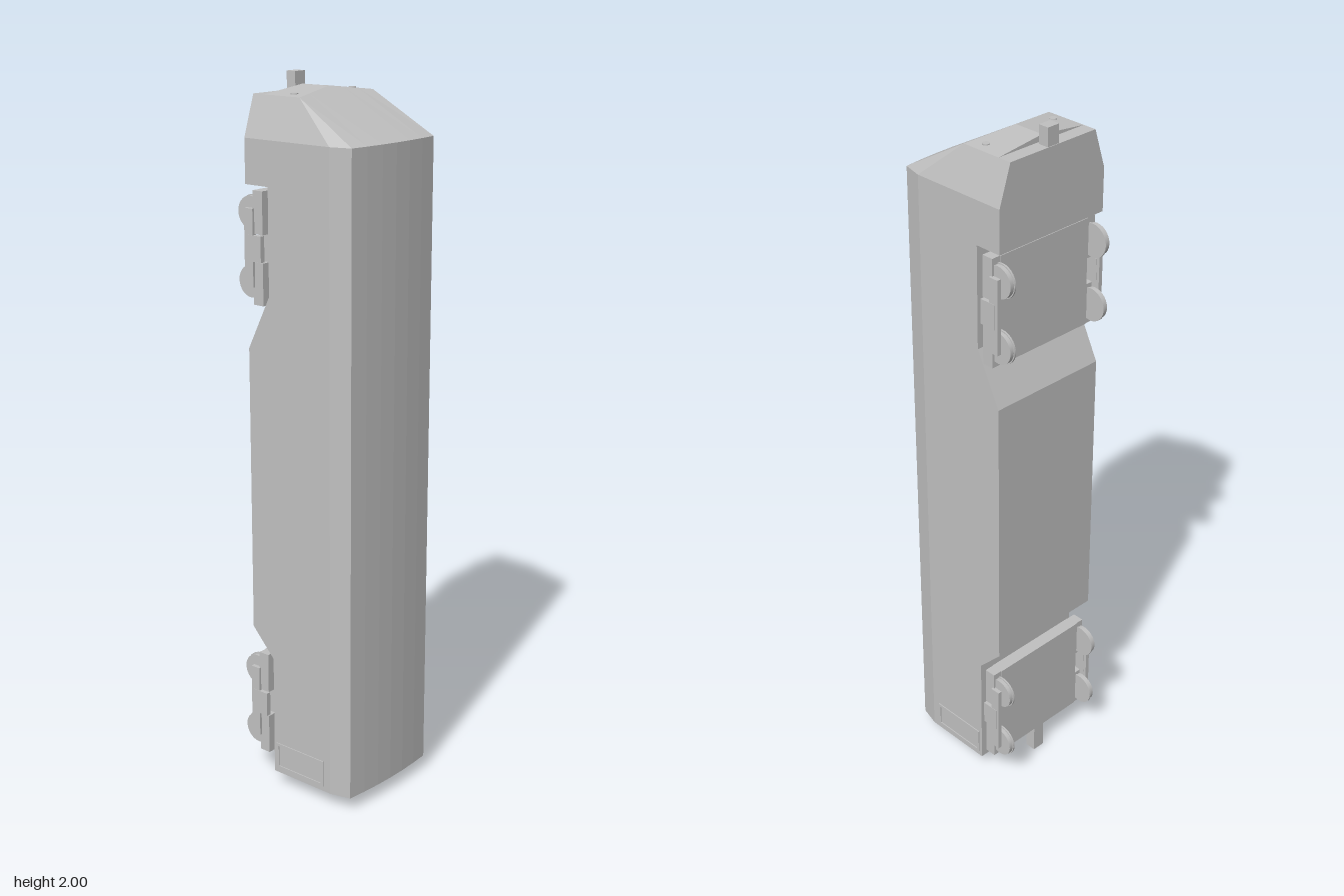
import * as THREE from 'three';

export function createModel() {
  const model = new THREE.Group();
  const grey = new THREE.MeshStandardMaterial({ color: 0xc0c0c0 });
  grey.name = 'plain grey';
  const CX = -0.005; // the car body sits slightly off centre

  function add(name, geometry, x = 0, y = 0, z = 0, parent = model) {
    const mesh = new THREE.Mesh(geometry, grey);
    mesh.name = name;
    mesh.position.set(x, y, z);
    parent.add(mesh);
    return mesh;
  }
  const box = (w, h, d) => new THREE.BoxGeometry(w, h, d);

  // Rectangular frame in the XY plane, extruded along +z
  function frame(w, h, border, depth) {
    const rect = (Type, a, b) => new Type([[-a, -b], [a, -b], [a, b], [-a, b]].map(p => new THREE.Vector2(...p)));
    const shape = rect(THREE.Shape, w / 2, h / 2);
    shape.holes.push(rect(THREE.Path, w / 2 - border, h / 2 - border));
    return new THREE.ExtrudeGeometry(shape, { depth, bevelEnabled: false });
  }

  // Flat-shaded skin between rows of points
  function skin(rows, closed, capFirst) {
    const out = [];
    const tri = (...pts) => pts.forEach(p => out.push(...p));
    const n = rows[0].length;
    for (let r = 0; r < rows.length - 1; r++) {
      for (let i = 0; i < (closed ? n : n - 1); i++) {
        const j = (i + 1) % n;
        tri(rows[r][i], rows[r + 1][i], rows[r + 1][j]);
        tri(rows[r][i], rows[r + 1][j], rows[r][j]);
      }
    }
    if (capFirst) for (let i = 1; i < n - 1; i++) tri(rows[0][0], rows[0][i], rows[0][i + 1]);
    const g = new THREE.BufferGeometry();
    g.setAttribute('position', new THREE.Float32BufferAttribute(out, 3));
    g.computeVertexNormals();
    return g;
  }

  // Car body: cross-sections stacked along y, with recesses for the bogies
  const arc = [1, 0.67, 0.33, 0, -0.33, -0.67, -1];
  const section = (y, back) => [
    [0.182, y, back], [0.182, y, 0.13],
    ...arc.map(t => [0.166 * t, y, 0.2 - 0.01 * t * t]),
    [-0.182, y, 0.13], [-0.182, y, back],
  ];
  const brow = arc.map(t => [0.146 * t, 1.967 - 0.017 * Math.abs(t), -0.03 * (1 - Math.abs(t))]);
  const rows = [[0.04, -0.08], [0.39, -0.08], [0.47, -0.155], [1.28, -0.155], [1.43, -0.08],
    [1.72, -0.08], [1.72, -0.16], [1.84, -0.16]].map(s => section(...s));
  rows.push([[0.146, 1.95, -0.16], [0.146, 1.95, 0], ...brow, [-0.146, 1.95, 0], [-0.146, 1.95, -0.16]]);
  add('carBody', skin(rows, true, true), CX);

  // Nose end: shallow ridge, a small step and a flat ledge
  const nose = [
    brow,
    brow.map(([x, y]) => [x, y, -0.12]),
    brow.map(([x]) => [x, 1.95, -0.12]),
    brow.map(([x]) => [x, 1.95, -0.16]),
  ];
  add('noseEnd', skin(nose, false, false), CX);
  for (const s of [-1, 1]) {
    add('headlight', new THREE.CylinderGeometry(0.01, 0.01, 0.008, 16), CX + s * 0.115, 1.952, -0.045);
  }

  // Couplers at both ends
  add('noseCoupler', box(0.038, 0.1, 0.03), CX, 1.95, -0.143);
  add('rearCoupler', box(0.038, 0.09, 0.032), CX, 0.045, -0.121);

  // Rear gangway frame and side door frames
  add('gangwayFrame', frame(0.135, 0.21, 0.018, 0.016), -0.009, 0.041, 0.025).rotation.x = Math.PI / 2;
  for (const s of [-1, 1]) {
    add('sideDoorFrame', frame(0.175, 0.078, 0.008, 0.003), CX + s * 0.182, 0.093, 0.018).rotation.y = s * Math.PI / 2;
  }

  // Bogies: turntable, plate, side frames and wheels
  const wheelGeometry = new THREE.CylinderGeometry(0.044, 0.044, 0.012, 28).rotateZ(Math.PI / 2);
  const flangeGeometry = new THREE.CylinderGeometry(0.047, 0.047, 0.005, 28).rotateZ(Math.PI / 2);
  const turntableGeometry = new THREE.CylinderGeometry(0.095, 0.095, 0.035, 32).rotateX(Math.PI / 2);
  for (const y of [0.24, 1.553]) {
    const bogie = new THREE.Group();
    bogie.name = 'bogie';
    bogie.position.set(0, y, 0);
    model.add(bogie);
    add('turntable', turntableGeometry, 0, 0, -0.093, bogie);
    add('bogiePlate', box(0.31, 0.305, 0.037), 0, 0, -0.1225, bogie);
    for (const s of [-1, 1]) {
      add('sideBeam', box(0.012, 0.21, 0.03), s * 0.183, 0, -0.149, bogie);
      add('beamCentre', box(0.014, 0.07, 0.05), s * 0.183, 0, -0.13, bogie);
      for (const e of [-1, 1]) {
        add('axleBox', box(0.028, 0.115, 0.034), s * 0.168, e * 0.095, -0.122, bogie);
        add('wheel', wheelGeometry, s * 0.17, e * 0.092, -0.153, bogie);
        add('wheelFlange', flangeGeometry, s * 0.162, e * 0.092, -0.153, bogie);
      }
    }
  }
  return model;
}
